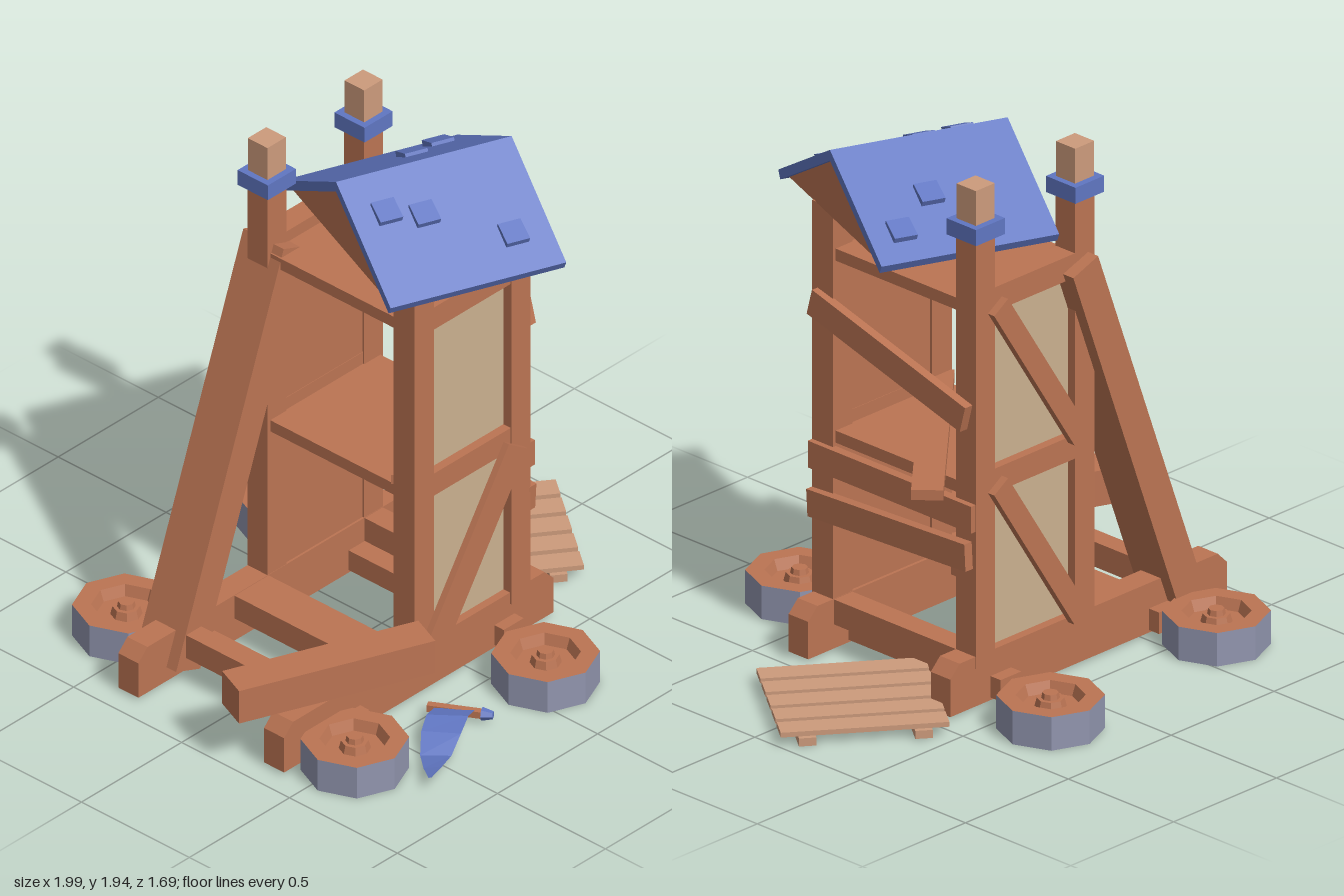
import * as THREE from 'three';

const mat = (name, color, side = THREE.FrontSide) => {
  const m = new THREE.MeshStandardMaterial({ color, flatShading: true, side });
  m.name = name;
  return m;
};

export function createModel() {
  const root = new THREE.Group();
  root.name = 'ruinedSiegeTower';
  const wood = mat('wood', 0xbb7453);
  const pale = mat('paleWood', 0xcd9b7c);
  const hide = mat('hidePanel', 0xcab08f);
  const blue = mat('bluePaint', 0x6076c2, THREE.DoubleSide);
  const iron = mat('wheelIron', 0x9195ae);

  const add = (name, geo, m, x = 0, y = 0, z = 0, parent = root) => {
    const mesh = new THREE.Mesh(geo, m);
    mesh.name = name;
    mesh.position.set(x, y, z);
    parent.add(mesh);
    return mesh;
  };
  // box given by its centre
  const box = (name, m, w, h, d, x, y, z, parent) =>
    add(name, new THREE.BoxGeometry(w, h, d), m, x, y, z, parent);
  // box given by its limits
  const span = (name, m, x0, x1, y0, y1, z0, z1) =>
    box(name, m, x1 - x0, y1 - y0, z1 - z0, (x0 + x1) / 2, (y0 + y1) / 2, (z0 + z1) / 2);
  // beam between two points of an upright plane
  const beam = (name, m, x0, y0, x1, y1, width, depth, z) => {
    const b = box(name, m, Math.hypot(x1 - x0, y1 - y0), width, depth, (x0 + x1) / 2, (y0 + y1) / 2, z);
    b.rotation.z = Math.atan2(y1 - y0, x1 - x0);
    return b;
  };
  // outline extruded along z, centred on z = 0
  const prism = (pts, depth) => {
    const shape = new THREE.Shape(pts.map(p => new THREE.Vector2(p[0], p[1])));
    return new THREE.ExtrudeGeometry(shape, { depth, bevelEnabled: false }).translate(0, 0, -depth / 2);
  };

  // chassis
  const railShape = [[-0.91, 0.01], [0.435, 0.01], [0.435, 0.15], [0.39, 0.195], [-0.865, 0.195], [-0.91, 0.15]];
  for (const z of [0.345, -0.33]) add('sideRail', prism(railShape, 0.093), wood, 0, 0, z);
  for (const [x0, x1] of [[-0.72, -0.645], [-0.43, -0.26], [0.22, 0.31]])
    span('crossBeam', wood, x0, x1, 0.1, 0.193, -0.3, 0.31);
  for (const x of [-0.58, 0.19]) span('axle', wood, x - 0.05, x + 0.05, 0.02, 0.1, -0.425, 0.435);

  // corner posts with painted bands on the two tall ones
  for (const x of [-0.217, 0.266]) {
    span('frontPost', wood, x - 0.048, x + 0.048, 0.15, 1.655, 0.3, 0.398);
    span('backPost', wood, x - 0.047, x + 0.047, 0.15, 1.77, -0.378, -0.285);
    span('postBand', blue, x - 0.07, x + 0.07, 1.745, 1.805, -0.402, -0.262);
    span('postTip', pale, x - 0.046, x + 0.046, 1.8, 1.935, -0.377, -0.286);
  }

  // front and back walls
  for (const s of [1, -1]) {
    const range = (a, b) => (s > 0 ? [a, b] : [-b + 0.018, -a + 0.018]);
    span('wallBacking', wood, -0.2, 0.25, 0.19, 1.5, ...range(0.31, 0.355));
    for (const [y0, y1] of [[1.455, 1.545], [0.778, 0.868]])
      span('wallBeam', wood, -0.18, 0.23, y0, y1, ...range(0.308, 0.395));
    for (const [y0, y1] of [[0.868, 1.455], [0.195, 0.778]])
      span('wallPanel', hide, -0.17, 0.219, y0, y1, ...range(0.352, 0.361));
  }
  beam('frontBrace', wood, -0.187, 0.176, 0.227, 0.8, 0.113, 0.025, 0.41);
  for (const y of [0.2, 0.87]) beam('backBrace', wood, -0.17, y, 0.22, y + 0.61, 0.08, 0.03, -0.393);

  // floors and a loose plank poking through the tower
  span('topFloor', wood, -0.25, 0.3, 1.455, 1.5, -0.31, 0.31);
  span('middleFloor', wood, -0.25, 0.3, 0.775, 0.82, -0.31, 0.31);
  box('loosePlank', wood, 0.985, 0.038, 0.11, 0.135, 0.846, 0).rotation.y = 0.735;

  // planks nailed over the left side
  for (const [y, tilt, yaw] of [[1.19, -0.255, -0.03], [0.713, 0, 0], [0.557, 0.06, -0.03]])
    box('sidePlank', wood, 0.035, 0.1, 0.775, yaw ? 0.335 : 0.318, y, 0.01).rotation.set(tilt, yaw, 0);

  // long prop and fallen beam
  beam('prop', wood, -0.71, 0.045, -0.173, 1.508, 0.128, 0.187, -0.332);
  box('fallenBeam', wood, 0.735, 0.132, 0.137, -0.635, 0.264, 0.343).rotation.y = -0.388;

  // slipped roof
  const roof = new THREE.Group();
  roof.name = 'roof';
  roof.position.set(0.075, 0, 0.125);
  roof.rotation.y = -0.381;
  root.add(roof);
  const cover = [[0, 1.912], [0.434, 1.657], [0.418, 1.627], [0, 1.872], [-0.418, 1.627], [-0.434, 1.657]];
  add('roofCover', prism(cover, 0.66).rotateY(Math.PI / 2), blue, 0, 0, 0, roof);
  add('gable', prism([[-0.375, 1.651], [0.375, 1.651], [0, 1.871]], 0.63).rotateY(Math.PI / 2), wood, 0, 0, 0, roof);
  for (const [u, w] of [[-0.205, 0.137], [-0.08, 0.174], [0.192, 0.305], [0.058, -0.217], [0.209, -0.326]])
    box('shingle', blue, 0.085, 0.024, 0.085, u, 1.918 - 0.588 * Math.abs(w), w, roof)
      .rotation.x = Math.sign(w) * 0.42;

  // wheels lying flat around the chassis
  const lathe = pts => new THREE.LatheGeometry(pts.map(p => new THREE.Vector2(p[0], p[1])), 8);
  const face = lathe([[0.185, 0.125], [0.12, 0.125], [0.105, 0.085], [0.055, 0.085], [0.047, 0.115],
    [0.032, 0.115], [0.028, 0.135], [0, 0.135]]);
  const tread = lathe([[0.185, 0], [0.185, 0.125]]);
  const underside = lathe([[0, 0], [0.185, 0]]);
  for (const [x, z] of [[-0.64, -0.59], [0.245, -0.667], [-0.717, 0.54], [0.11, 0.657]]) {
    const wheel = new THREE.Group();
    wheel.name = 'wheel';
    wheel.position.set(x, 0, z);
    add('wheelFace', face, wood, 0, 0, 0, wheel);
    add('wheelTread', tread, iron, 0, 0, 0, wheel);
    add('wheelUnderside', underside, wood, 0, 0, 0, wheel);
    root.add(wheel);
  }

  // fallen slatted hatch
  const hatch = new THREE.Group();
  hatch.name = 'slattedHatch';
  hatch.position.set(0.6, 0, -0.075);
  hatch.rotation.y = -0.642;
  root.add(hatch);
  for (let i = -2; i <= 2; i++) box('slat', pale, 0.58, 0.018, 0.088, 0, 0.042, i * 0.112, hatch);
  for (const x of [-0.2, 0.2]) box('hatchRunner', pale, 0.06, 0.03, 0.57, x, 0.018, 0, hatch);

  // fallen banner: pole, tip and waving cloth
  const pole = new THREE.Group();
  pole.name = 'bannerPole';
  pole.position.set(-0.26, 0.035, 0.585);
  pole.rotation.y = -1.06;
  root.add(pole);
  box('poleShaft', wood, 0.2, 0.026, 0.026, 0, 0, 0, pole);
  add('poleTip', new THREE.CylinderGeometry(0.014, 0.024, 0.04, 6).rotateZ(-Math.PI / 2), blue, 0.11, 0, 0, pole);
  const rows = [[-0.31, 0.53, -0.22, 0.64, 0.045], [-0.38, 0.56, -0.29, 0.67, 0.065], [-0.45, 0.6, -0.37, 0.71, 0.05],
    [-0.52, 0.66, -0.45, 0.74, 0.012], [-0.59, 0.74, -0.54, 0.78, 0.03], [-0.65, 0.82, -0.64, 0.825, 0.055]];
  const pos = rows.flatMap(([x0, z0, x1, z1, y]) => [x0, y, z0, x1, y, z1]);
  const idx = [];
  for (let i = 0; i < rows.length - 1; i++) {
    const a = i * 2;
    idx.push(a, a + 2, a + 1, a + 1, a + 2, a + 3);
  }
  const cloth = new THREE.BufferGeometry();
  cloth.setAttribute('position', new THREE.Float32BufferAttribute(pos, 3));
  cloth.setIndex(idx);
  cloth.computeVertexNormals();
  add('bannerCloth', cloth, blue);

  return root;
}
